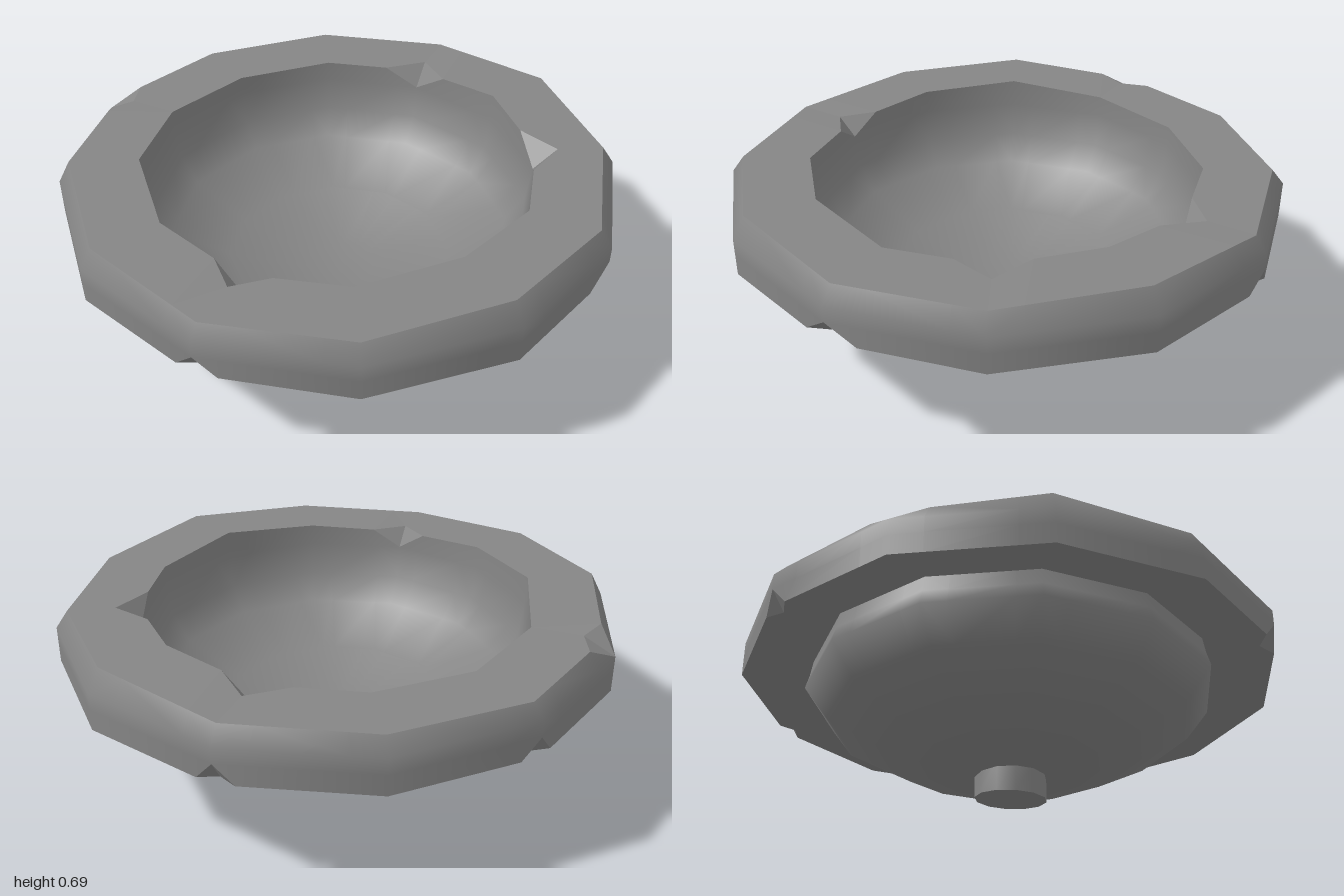
import * as THREE from 'three';
import { toCreasedNormals } from 'three/addons/utils/BufferGeometryUtils.js';

const SIDES = 12;
const COLS = SIDES * 3; // each corner plus a point on either side of it

// Section of the basin [radius, y]: underside, out round the rim, down into the bowl
const PROFILE = [
  [0, 0.1], [0.135, 0.103], [0.455, 0.183], [0.705, 0.315], [0.795, 0.435], [0.78, 0.49], [0.77, 0.55],
  [0.82, 0.55], [0.945, 0.475], [1.035, 0.475], [1.035, 0.55], [1.035, 0.61], [0.99, 0.685],
  [0.735, 0.685], [0.732, 0.59], [0.715, 0.46], [0.645, 0.36], [0.43, 0.235], [0.13, 0.16], [0, 0.155],
];
const LOWER_EDGE = 9, UPPER_EDGE = 12, INNER_LIP = 13;

// Uneven height of the rim's top at each corner
const TOP = [0.675, 0.67, 0.695, 0.67, 0.66, 0.678, 0.695, 0.67, 0.66, 0.665, 0.67, 0.695];

// Broken corners: [profile row, corner, change in radius, reach along each edge]
const CHIPS = [
  [LOWER_EDGE, 1, -0.075, 0.2], [LOWER_EDGE, 4, -0.06, 0.15],
  [LOWER_EDGE, 8, -0.05, 0.13], [LOWER_EDGE, 10, -0.05, 0.13],
  [UPPER_EDGE, 7, -0.07, 0.22],
  [INNER_LIP, 0, 0.082, 0.35], [INNER_LIP, 4, 0.07, 0.3], [INNER_LIP, 10, 0.08, 0.35],
];
const findChip = (row, k) => CHIPS.find((c) => c[0] === row && c[1] === k);

function cornerPoint(row, k) {
  const [r, y] = PROFILE[row];
  const a = ((15 + 30 * k) * Math.PI) / 180;
  const onTop = row === UPPER_EDGE || row === INNER_LIP;
  return new THREE.Vector3(r * Math.cos(a), onTop ? TOP[(k + SIDES) % SIDES] : y, r * Math.sin(a));
}

function gridPoint(row, col) {
  const k = Math.floor(col / 3), step = (col % 3) - 1;
  const p = cornerPoint(row, k);
  const chip = findChip(row, k);
  if (step !== 0) return p.lerp(cornerPoint(row, k + step), chip ? chip[3] : 0.22);
  if (chip) {
    const s = 1 + chip[2] / PROFILE[row][0];
    p.set(p.x * s, p.y, p.z * s);
  }
  return p;
}

// Outward normal of a section segment, in the (radius, y) plane
const SEGMENT_NORMALS = PROFILE.slice(1).map(([r, y], j) =>
  new THREE.Vector2(y - PROFILE[j][1], PROFILE[j][0] - r).normalize());

// Normal at a row, blended with the adjoining segment unless the edge is sharp
function sectionNormal(segment, row) {
  const n = SEGMENT_NORMALS[segment].clone();
  const next = SEGMENT_NORMALS[row === segment ? segment - 1 : segment + 1];
  return next && n.dot(next) > 0.53 ? n.add(next).normalize() : n;
}

function basinGeometry() {
  const positions = [], normals = [];
  const last = PROFILE.length - 2;

  // Triangles are smooth round the basin, but flat where they touch a chip
  const triangle = (segment, ...corners) => {
    const pts = corners.map(([row, col]) => gridPoint(row, col));
    const flat = corners.some(([row, col]) => col % 3 === 1 && findChip(row, (col - 1) / 3));
    const face = new THREE.Triangle(...pts).getNormal(new THREE.Vector3());
    corners.forEach(([row], i) => {
      const p = pts[i], r = Math.hypot(p.x, p.z);
      const s = sectionNormal(segment, row);
      const smooth = r < 0.001
        ? new THREE.Vector3(0, Math.sign(s.y), 0)
        : new THREE.Vector3((s.x * p.x) / r, s.y, (s.x * p.z) / r);
      positions.push(...p.toArray());
      normals.push(...(flat ? face : smooth).toArray());
    });
  };

  for (let j = 0; j <= last; j++) {
    for (let c = 0; c < COLS; c++) {
      const n = (c + 1) % COLS;
      const a = [j, c], b = [j + 1, c], d = [j, n], e = [j + 1, n];
      // diagonals meet at the corner so that chips fold cleanly
      const rising = (c % 3 === 0) !== (j === UPPER_EDGE - 1);
      if (j === 0) triangle(j, a, b, e);
      else if (j === last) triangle(j, a, b, d);
      else if (rising) {
        triangle(j, a, b, e);
        triangle(j, a, e, d);
      } else {
        triangle(j, a, b, d);
        triangle(j, b, e, d);
      }
    }
  }
  const g = new THREE.BufferGeometry();
  g.setAttribute('position', new THREE.Float32BufferAttribute(positions, 3));
  g.setAttribute('normal', new THREE.Float32BufferAttribute(normals, 3));
  return g;
}

// Short foot with a worn, slanting underside
function footGeometry() {
  const g = new THREE.CylinderGeometry(0.137, 0.137, 0.12, SIDES);
  g.rotateY(Math.PI / SIDES);
  g.translate(0, 0.06, 0);
  const p = g.attributes.position;
  for (let i = 0; i < p.count; i++) {
    if (p.getY(i) > 0.05) continue;
    const x = p.getX(i), r = Math.hypot(x, p.getZ(i));
    p.setY(i, r < 0.01 ? 0 : 0.02 + 0.1 * x);
  }
  g.deleteAttribute('normal');
  g.deleteAttribute('uv');
  return toCreasedNormals(g, 0.6);
}

export function createModel() {
  const stone = new THREE.MeshStandardMaterial({ color: 0x858585 });
  stone.name = 'grey stone';

  const group = new THREE.Group();
  group.name = 'stoneBasin';
  const add = (name, geometry) => {
    const mesh = new THREE.Mesh(geometry, stone);
    mesh.name = name;
    group.add(mesh);
  };
  add('basin', basinGeometry());
  add('foot', footGeometry());
  return group;
}
